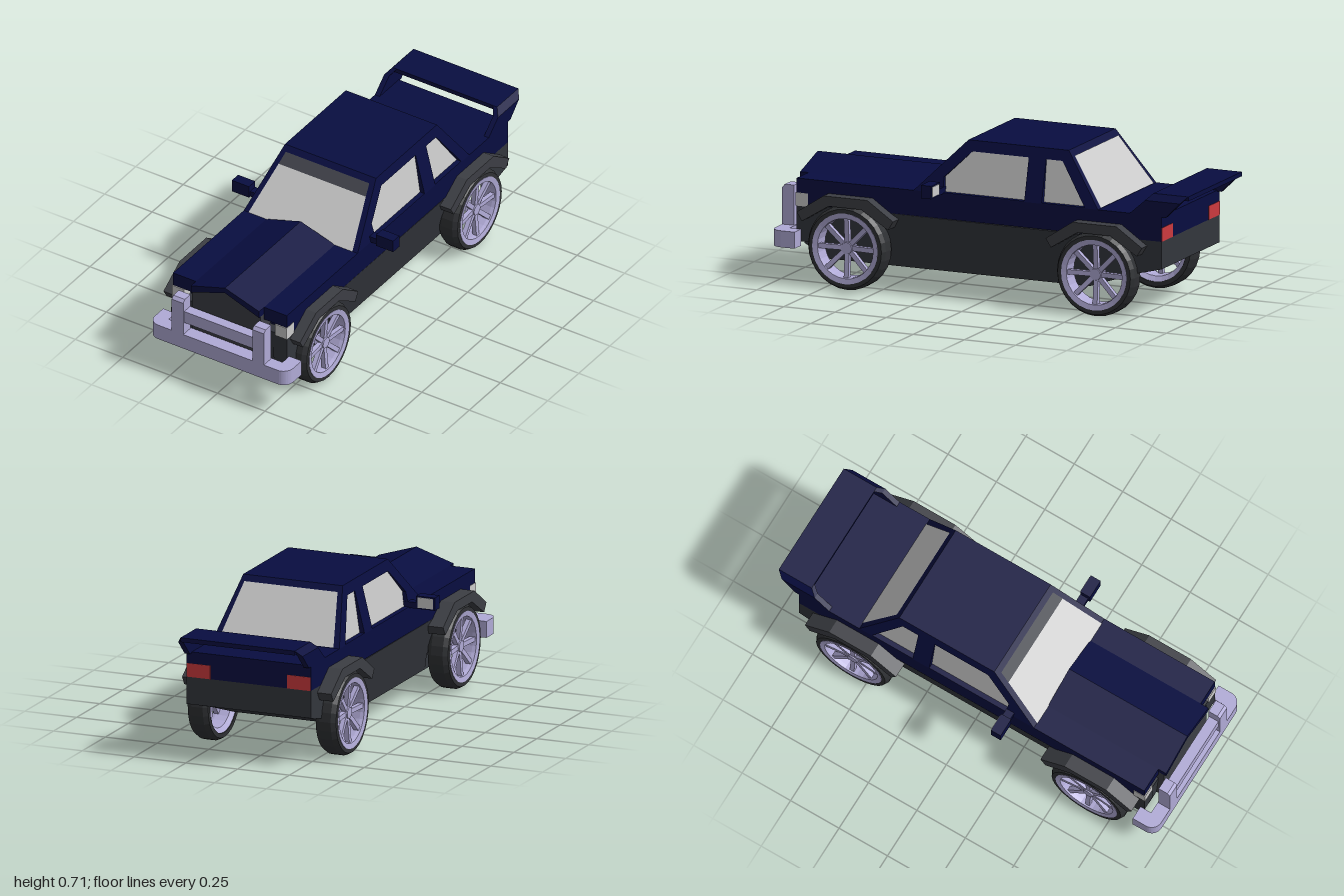
import * as THREE from 'three';

const mat = (color, side = THREE.FrontSide) => new THREE.MeshStandardMaterial({ color, side, flatShading: true });
const navy = mat(0x080d40), dark = mat(0x33363c), trim = mat(0x3c3e44), metal = mat(0xb0aad6, THREE.DoubleSide);
const glass = mat(0xbfbfbf, THREE.DoubleSide), tint = mat(0x42444c, THREE.DoubleSide);
const lamp = mat(0xbcbcbc), red = mat(0xcc3a3e), rubber = mat(0x2f3134, THREE.DoubleSide);

const WHEEL_Y = 0.19, ARCH = 0.165, FRONT = 0.64, REAR = -0.575, SHIFT = -0.007;
const sideX = y => 0.3 - 0.06 * (y - 0.475) / 0.24; // cabin half width at a height
const glassX = y => 0.274 - 0.036 * (y - 0.475) / 0.24; // recessed side glass

export function createModel() {
  const car = new THREE.Group();
  car.name = 'car';
  const add = (name, geo, material, parent = car) => {
    const m = new THREE.Mesh(geo, material);
    m.name = name;
    parent.add(m);
  };
  const box = (name, x0, x1, y0, y1, z0, z1, material) => add(name,
    new THREE.BoxGeometry(x1 - x0, y1 - y0, z1 - z0).translate((x0 + x1) / 2, (y0 + y1) / 2, (z0 + z1) / 2), material);
  const toShape = p => p instanceof THREE.Shape ? p : new THREE.Shape(p.map(q => new THREE.Vector2(...q)));
  // side profile in (z, y) extruded across x
  const acrossX = (pts, x0, x1) => new THREE.ExtrudeGeometry(toShape(pts), { depth: x1 - x0, bevelEnabled: false })
    .rotateY(-Math.PI / 2).translate(x1, 0, 0);
  // front profile in (x, y) extruded along z
  const alongZ = (pts, z0, z1) => new THREE.ExtrudeGeometry(toShape(pts), { depth: z1 - z0, bevelEnabled: false })
    .translate(0, 0, z0);
  const scaleX = (geo, rule) => {
    const p = geo.attributes.position;
    for (let i = 0; i < p.count; i++) p.setX(i, p.getX(i) * rule(p.getY(i)));
    geo.computeVertexNormals();
    return geo;
  };
  const panel = (name, pts, material) => {
    const g = new THREE.BufferGeometry().setFromPoints(pts);
    const idx = [];
    for (let i = 1; i < pts.length - 1; i++) idx.push(0, i, i + 1);
    g.setIndex(idx);
    g.computeVertexNormals();
    add(name, g, material);
  };

  // lower body: solid core, then side panels cut by the wheel arches
  add('lowerBodyCore', acrossX([[-0.88, 0.36], [-0.88, 0.235], [-0.75, 0.195], [-0.5, 0.11], [0.78, 0.11],
    [0.89, 0.17], [0.9, 0.36]], -0.24, 0.24), dark);
  const rearSide = new THREE.Shape();
  rearSide.moveTo(-0.88, 0.36);
  rearSide.lineTo(-0.88, 0.235);
  rearSide.absarc(REAR, WHEEL_Y, ARCH, Math.PI - 0.06, Math.PI / 2, true);
  rearSide.lineTo(REAR, 0.36);
  const door = new THREE.Shape();
  door.moveTo(REAR, 0.36);
  door.absarc(REAR, WHEEL_Y, ARCH, Math.PI / 2, -0.506, true);
  door.absarc(FRONT, WHEEL_Y, ARCH, Math.PI + 0.506, Math.PI / 2, true);
  door.lineTo(FRONT, 0.36);
  const frontSide = new THREE.Shape();
  frontSide.moveTo(FRONT, 0.36);
  frontSide.absarc(FRONT, WHEEL_Y, ARCH, Math.PI / 2, 0, true);
  for (const p of [[0.89, 0.19], [0.9, 0.23], [0.9, 0.36]]) frontSide.lineTo(...p);
  for (const [x0, x1] of [[0.23, 0.3], [-0.3, -0.23]]) {
    add('rearSidePanel', acrossX(rearSide, x0, x1), dark);
    add('doorPanel', scaleX(acrossX(door, x0, x1), y => 1 - 0.2 * (0.36 - y) / 0.25), dark);
    add('frontSidePanel', acrossX(frontSide, x0, x1), dark);
  }

  // upper body and hood
  box('upperBody', -0.3, 0.3, 0.36, 0.475, -0.88, 0.85, navy);
  box('frontFenderTop', -0.3, 0.3, 0.41, 0.475, 0.84, 0.9, navy);
  add('hood', alongZ([[-0.18, 0.44], [0, 0.505], [0.18, 0.44], [0.18, 0.475], [0, 0.532], [-0.18, 0.475]], 0.33, 0.94), navy);
  add('grille', alongZ([[-0.18, 0.17], [0.18, 0.17], [0.18, 0.44], [0, 0.505], [-0.18, 0.44]], 0.8, 0.93), trim);

  // cabin: inner block behind the glass, with side frames around the window openings
  const profile = [[0.33, 0.475], [-0.57, 0.475], [-0.4, 0.715], [0.09, 0.715]];
  const windows = {
    frontSideWindow: [[0.185, 0.478], [0.19, 0.545], [0.065, 0.667], [-0.21, 0.667], [-0.21, 0.478]],
    rearSideWindow: [[-0.295, 0.478], [-0.295, 0.667], [-0.375, 0.667], [-0.505, 0.478]],
  };
  add('cabin', scaleX(acrossX(profile, -0.3, 0.3), y => glassX(y) / 0.3), navy);
  const frame = toShape(profile);
  for (const w of Object.values(windows)) frame.holes.push(toShape(w));
  for (const x of [-0.3, 0.25])
    add('windowFrame', scaleX(acrossX(frame, x, x + 0.05), y => sideX(y) / 0.3), navy);

  // glass
  const V = (x, y, z) => new THREE.Vector3(x, y, z);
  const shield = y => 0.334 - (y - 0.475);
  const rear = y => -0.574 + (y - 0.475) * 0.17 / 0.24;
  const cross = (y0, w0, y1, w1, f) => [V(-w0, y0, f(y0)), V(w0, y0, f(y0)), V(w1, y1, f(y1)), V(-w1, y1, f(y1))];
  panel('windshield', cross(0.476, 0.274, 0.652, 0.23, shield), glass);
  panel('windshieldSunStrip', cross(0.652, 0.23, 0.695, 0.22, shield), tint);
  panel('rearWindow', cross(0.478, 0.272, 0.69, 0.225, rear), glass);
  for (const s of [-1, 1]) for (const [name, pts] of Object.entries(windows))
    panel(name, pts.map(([z, y]) => V(s * (glassX(y) + 0.002), y, z)), glass);

  // lights and mirrors
  for (const s of [-1, 1]) {
    const sideBox = (name, x0, x1, ...r) => s > 0 ? box(name, x0, x1, ...r) : box(name, -x1, -x0, ...r);
    sideBox('headlight', 0.24, 0.302, 0.35, 0.41, 0.845, 0.905, lamp);
    sideBox('tailLight', 0.185, 0.299, 0.36, 0.422, -0.882, -0.87, red);
    sideBox('mirrorArm', 0.27, 0.34, 0.474, 0.502, 0.185, 0.225, navy);
    sideBox('mirror', 0.335, 0.425, 0.474, 0.533, 0.185, 0.235, navy);
    sideBox('mirrorGlass', 0.343, 0.417, 0.48, 0.527, 0.182, 0.187, lamp);
  }

  // rear wing: flat plate on two end plates with bevelled tops
  box('wing', -0.275, 0.275, 0.55, 0.57, -1, -0.83, navy);
  for (const x of [-0.3, 0.275]) {
    add('wingEndPlate', acrossX([[-0.72, 0.47], [-0.9, 0.47], [-0.91, 0.48], [-0.97, 0.54], [-0.8, 0.54]],
      x, x + 0.025), navy);
    add('wingEndPlateTop', scaleX(acrossX([[-0.8, 0.54], [-0.97, 0.54], [-1, 0.57], [-0.83, 0.57]], x, x + 0.025),
      y => y > 0.56 ? 0.92 : 1), navy);
  }

  // front bumper with wrapped ends and guard bars
  const b = new THREE.Shape();
  b.moveTo(-0.365, 0.88);
  b.lineTo(-0.365, 0.948);
  b.absarc(-0.315, 0.948, 0.05, Math.PI, Math.PI / 2, true);
  b.lineTo(0.315, 0.998);
  b.absarc(0.315, 0.948, 0.05, Math.PI / 2, 0, true);
  for (const p of [[0.365, 0.88], [0.3, 0.88], [0.3, 0.935], [-0.3, 0.935], [-0.3, 0.88]]) b.lineTo(...p);
  add('bumper', new THREE.ExtrudeGeometry(b, { depth: 0.075, bevelEnabled: false, curveSegments: 5 })
    .rotateX(Math.PI / 2).translate(0, 0.245, 0), metal);
  for (const x of [-0.243, 0.182])
    add('guardPost', acrossX([[0.94, 0.24], [0.998, 0.24], [0.998, 0.413], [0.985, 0.427], [0.94, 0.427]], x, x + 0.061), metal);
  box('guardBar', -0.19, 0.19, 0.305, 0.365, 0.942, 0.99, metal);

  // wheel arch flares: (z offset from axle, y)
  const flare = [[0.235, 0.335], [0.105, 0.42], [-0.11, 0.42], [-0.235, 0.335], [-0.21, 0.295], [-0.08, 0.375],
    [0.08, 0.375], [0.21, 0.295]];
  for (const z of [FRONT, REAR]) for (const x of [-0.36, 0.25])
    add('archFlare', acrossX(flare.map(([dz, y]) => [z + dz, y]), x + SHIFT, x + 0.11 + SHIFT), trim);

  // wheels, built around x with the outer face towards +x
  const ring = pts => new THREE.LatheGeometry(pts.map(p => new THREE.Vector2(...p)), 28).rotateZ(-Math.PI / 2);
  const tyre = ring([[0.157, -0.049], [0.178, -0.049], [0.19, -0.028], [0.19, 0.028], [0.178, 0.049], [0.157, 0.049],
    [0.157, -0.049]]);
  const rim = ring([[0.157, -0.045], [0.135, -0.03], [0.133, 0.03], [0.136, 0.047], [0.16, 0.051], [0.157, 0.03]]);
  const spoke = alongZ([[0.008, 0.02], [0.03, 0.02], [0.04, 0.137], [0.018, 0.137]], -0.011, 0.011);
  for (const z of [FRONT, REAR]) for (const s of [-1, 1]) {
    const wheel = new THREE.Group();
    wheel.name = 'wheel';
    add('tyre', tyre, rubber, wheel);
    add('rim', rim, metal, wheel);
    add('hub', new THREE.CylinderGeometry(0.026, 0.036, 0.04, 12).rotateZ(-Math.PI / 2).translate(0.016, 0, 0), metal, wheel);
    for (let i = 0; i < 8; i++) add('spoke', spoke.clone().rotateX(i * Math.PI / 4), metal, wheel);
    wheel.position.set(s * 0.309 + SHIFT, WHEEL_Y, z);
    if (s < 0) wheel.rotation.y = Math.PI;
    car.add(wheel);
  }
  return car;
}
